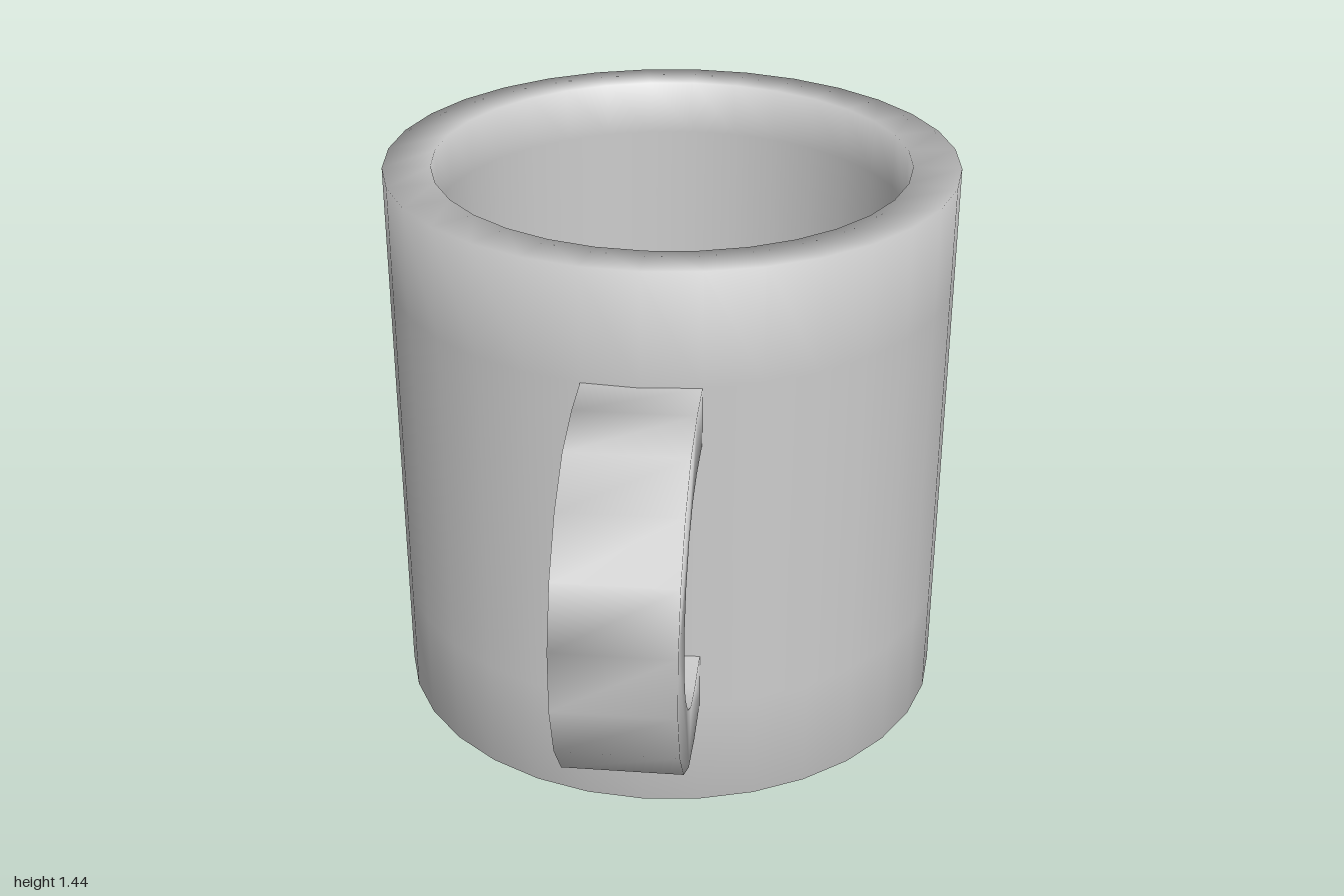
import * as THREE from 'three';
import { mergeVertices } from 'three/addons/utils/BufferGeometryUtils.js';

export function createModel() {
  const mug = new THREE.Group();
  mug.name = 'mug';

  const ceramic = new THREE.MeshStandardMaterial({ color: 0xcccccc });
  ceramic.name = 'grey ceramic';

  // Cup: one closed profile, underside -> outer wall -> rim -> inner wall -> floor
  const profile = [
    [0, 0], [0.66, 0], [0.72, 0], [0.72, 0.29], [0.72, 1.155], [0.72, 1.44],
    [0.6, 1.44], [0.6, 1.3], [0.6, 0.2], [0.6, 0.14], [0.55, 0.14], [0, 0.14],
  ].map(([r, y]) => new THREE.Vector2(r, y));
  const cup = new THREE.Mesh(new THREE.LatheGeometry(profile, 32), ceramic);
  cup.name = 'cup';
  cup.position.z = -0.28;
  mug.add(cup);

  // Handle: faceted half ring with straight ends sunk into the wall
  const cz = 0.565, cy = 0.72, steps = 9, root = 0.38, wall = 0.426;
  const arc = (radius) => Array.from({ length: steps + 1 }, (_, i) => {
    const a = Math.PI * (i / steps - 0.5);
    return new THREE.Vector2(cz + radius * Math.cos(a), cy + radius * Math.sin(a));
  });
  const ends = (radius, side) =>
    [root, wall].map((z) => new THREE.Vector2(z, cy + side * radius));
  const outline = [
    ...ends(0.435, -1), ...arc(0.435), ...ends(0.435, 1).reverse(),
    ...ends(0.29, 1), ...arc(0.29).reverse(), ...ends(0.29, -1).reverse(),
  ];
  let ring = new THREE.ExtrudeGeometry(new THREE.Shape(outline), {
    depth: 0.28, bevelEnabled: false,
  });
  ring.rotateY(-Math.PI / 2);
  ring.translate(0.14, 0, 0);
  // Weld the corners so the shading runs softly around the edges
  ring.deleteAttribute('normal');
  ring.deleteAttribute('uv');
  ring = mergeVertices(ring, 1e-4);
  ring.clearGroups();
  ring.computeVertexNormals();
  const handle = new THREE.Mesh(ring, ceramic);
  handle.name = 'handle';
  mug.add(handle);

  return mug;
}
